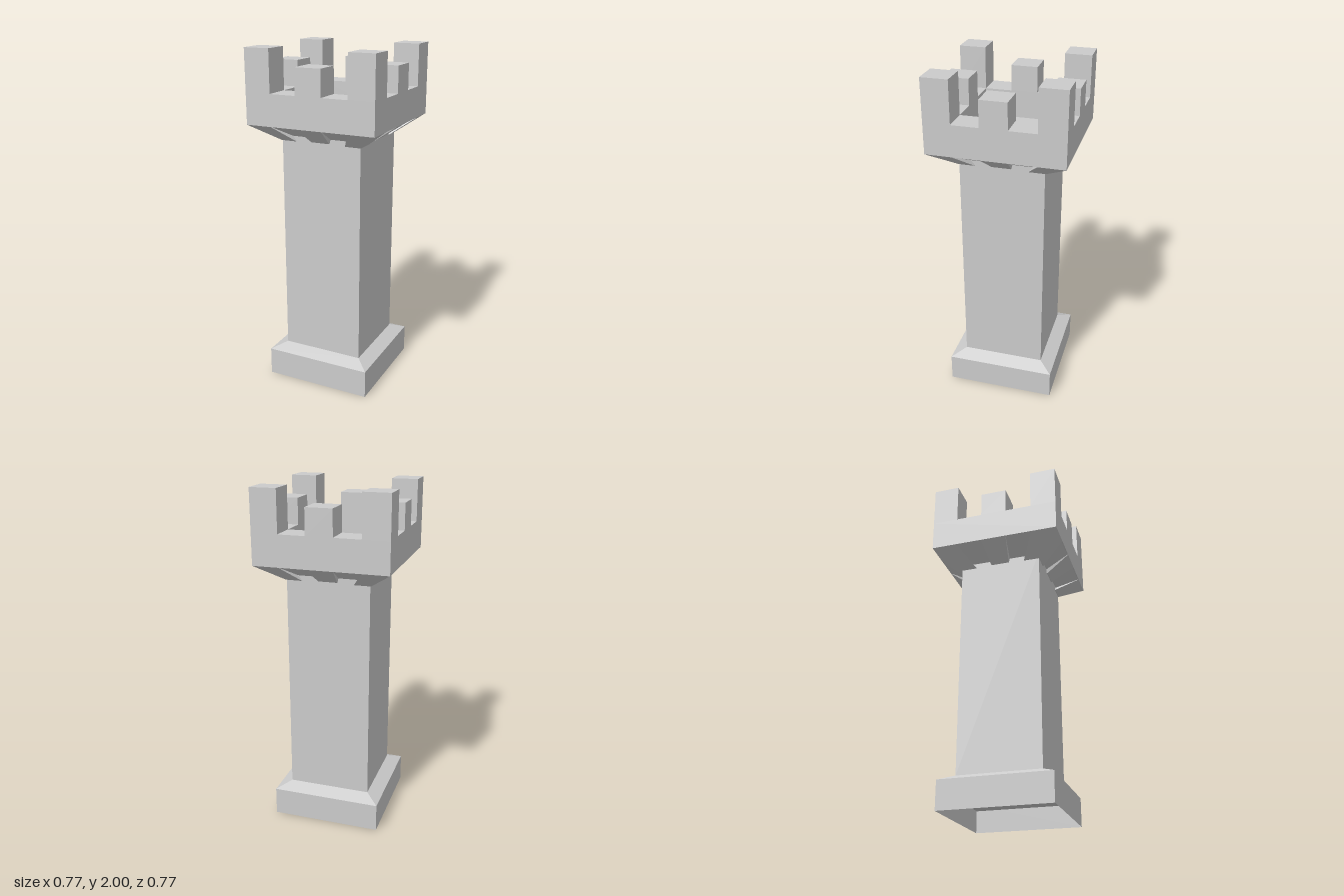
import * as THREE from 'three';

const stone = new THREE.MeshStandardMaterial({ color: 0xcccccc, flatShading: true });
const thinStone = new THREE.MeshStandardMaterial({ color: 0xcccccc, flatShading: true, side: THREE.DoubleSide });

// Block between two rectangles [x0, x1, z0, z1] at heights y0 and y1
function block(name, y0, bottom, y1, top = bottom) {
  const geo = new THREE.BoxGeometry(1, 1, 1);
  const p = geo.attributes.position;
  for (let i = 0; i < p.count; i++) {
    const up = p.getY(i) > 0;
    const r = up ? top : bottom;
    p.setXYZ(i, p.getX(i) > 0 ? r[1] : r[0], up ? y1 : y0, p.getZ(i) > 0 ? r[3] : r[2]);
  }
  geo.computeVertexNormals();
  const mesh = new THREE.Mesh(geo, stone);
  mesh.name = name;
  return mesh;
}

const square = (h) => [-h, h, -h, h];

export function createModel() {
  const tower = new THREE.Group();
  tower.name = 'tower';

  const BASE = 0.32, SHAFT = 0.242, HEAD = 0.385, INNER = 0.232, MID = 0.077;

  // Plinth: thin skirt, open underneath, with a recessed ceiling and a bevelled top
  const skirtGeo = new THREE.CylinderGeometry(BASE * Math.SQRT2, BASE * Math.SQRT2, 0.165, 4, 1, true);
  skirtGeo.rotateY(Math.PI / 4);
  const skirt = new THREE.Mesh(skirtGeo, thinStone);
  skirt.name = 'plinthSkirt';
  skirt.position.y = 0.0825;
  tower.add(skirt);
  tower.add(block('plinthCore', 0.13, square(BASE - 0.001), 0.165, square(BASE - 0.001)));
  tower.add(block('plinthBevel', 0.165, square(BASE), 0.2, square(SHAFT)));

  // Shaft and the flare under the head
  tower.add(block('shaft', 0.2, square(SHAFT), 1.52));
  tower.add(block('flare', 1.51, square(SHAFT), 1.58, square(HEAD - 0.005)));

  // Parapet wall around a sunken floor
  const ring = new THREE.Shape([[-1, -1], [1, -1], [1, 1], [-1, 1]].map(([x, y]) => new THREE.Vector2(x * HEAD, y * HEAD)));
  ring.holes.push(new THREE.Path([[-1, -1], [-1, 1], [1, 1], [1, -1]].map(([x, y]) => new THREE.Vector2(x * INNER, y * INNER))));
  const wallGeo = new THREE.ExtrudeGeometry(ring, { depth: 0.18, bevelEnabled: false });
  wallGeo.rotateX(-Math.PI / 2);
  const wall = new THREE.Mesh(wallGeo, stone);
  wall.name = 'parapetWall';
  wall.position.y = 1.58;
  tower.add(wall);
  tower.add(block('roofFloor', 1.575, square(INNER), 1.6));

  // Each side: middle and corner merlons with the corbels below them
  for (let i = 0; i < 4; i++) {
    const side = new THREE.Group();
    side.name = 'battlementSide';
    side.rotation.y = (i * Math.PI) / 2;
    side.add(block('middleMerlon', 1.76, [-MID, MID, INNER, HEAD], 1.91));
    side.add(block('cornerMerlon', 1.76, [INNER, HEAD, INNER, HEAD], 2));
    side.add(block('middleCorbel', 1.485, [-0.055, 0.055, 0.2, 0.246], 1.58, [-MID, MID, INNER, HEAD]));
    side.add(block('cornerCorbel', 1.48, [0.15, 0.246, 0.15, 0.246], 1.58, [INNER, HEAD, INNER, HEAD]));
    tower.add(side);
  }
  return tower;
}
